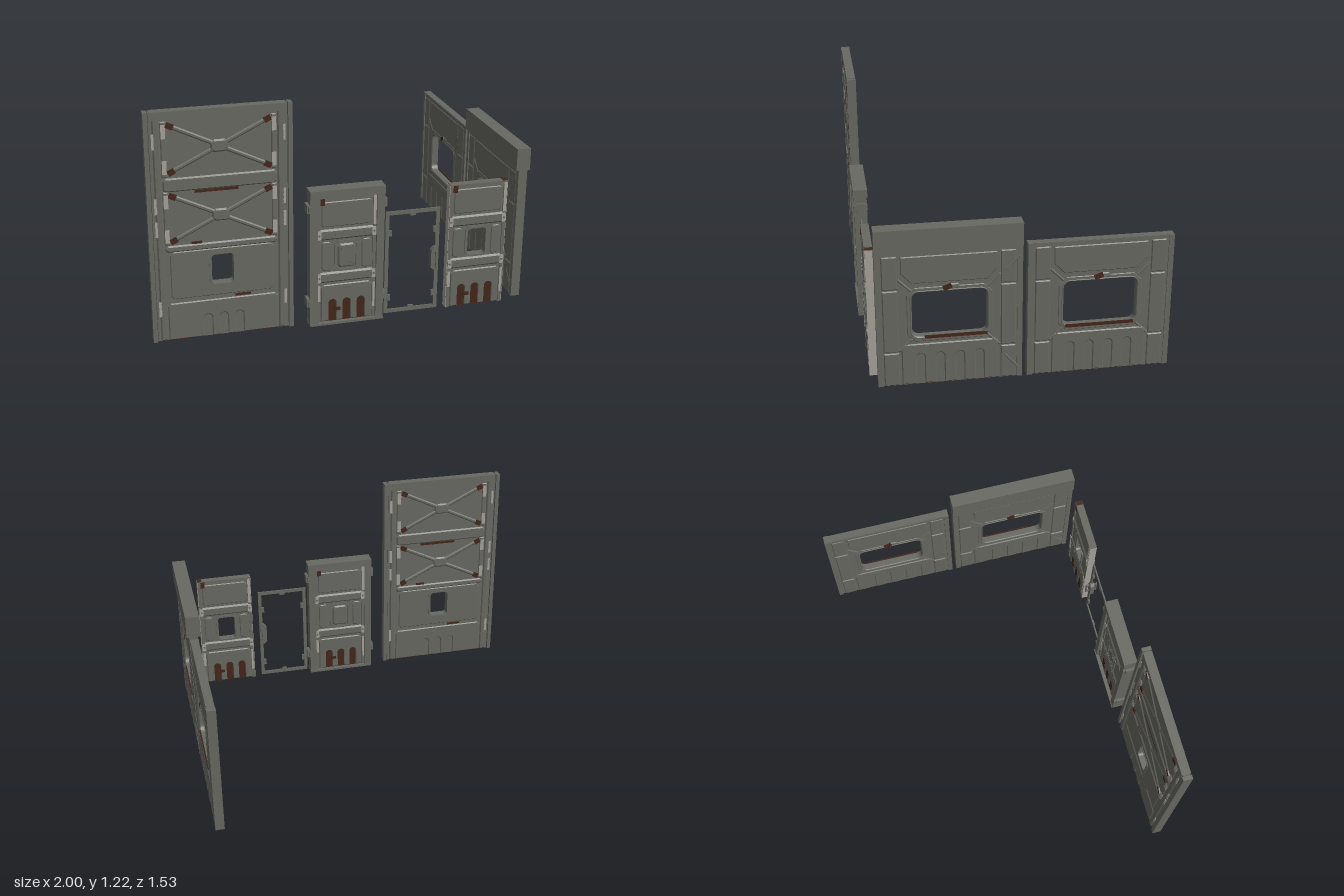
import * as THREE from 'three';

const mat = (name, color) => Object.assign(new THREE.MeshStandardMaterial({ color }), { name });
const steel = mat('steel grey', 0x696963);
const light = mat('worn light grey', 0xa6a399);
const rust = mat('rust brown', 0x44261a);

function add(parent, name, geo, material) {
  const m = new THREE.Mesh(geo, material);
  m.name = name;
  parent.add(m);
  return m;
}
function group(parent, name) {
  const g = new THREE.Group();
  g.name = name;
  parent.add(g);
  return g;
}
function box(p, name, material, [x, y, z], [w, h, d], rot = 0) {
  const m = add(p, name, new THREE.BoxGeometry(w, h, d), material);
  m.position.set(x, y, z);
  m.rotation.z = rot;
  return m;
}
// rectangle outline, with cut corners when c > 0
function cutRect(w, h, y, c, Type = THREE.Shape) {
  const a = w / 2, b = h / 2;
  const pts = c
    ? [[-a + c, -b], [a - c, -b], [a, -b + c], [a, b - c], [a - c, b], [-a + c, b], [-a, b - c], [-a, -b + c]]
    : [[-a, -b], [a, -b], [a, b], [-a, b]];
  return new Type(pts.map(([px, py]) => new THREE.Vector2(px, py + y)));
}
// window outline with rounded corners
function roundRect(w, h, y, r, Type = THREE.Path) {
  const s = new Type(), a = w / 2 - r, b = h / 2 - r;
  s.absarc(a, y + b, r, 0, Math.PI / 2);
  s.absarc(-a, y + b, r, Math.PI / 2, Math.PI);
  s.absarc(-a, y - b, r, Math.PI, Math.PI * 1.5);
  s.absarc(a, y - b, r, Math.PI * 1.5, Math.PI * 2);
  s.closePath();
  return s;
}
// straight-sided plate
function slab(p, name, material, shape, z0, depth, hole) {
  if (hole) shape.holes.push(hole);
  const geo = new THREE.ExtrudeGeometry(shape, { depth, bevelEnabled: false, curveSegments: 4 });
  return add(p, name, geo.translate(0, 0, z0), material);
}
// raised plate with sloping edges, rising by height above z0
function plate(p, name, material, shape, z0, height, hole) {
  if (hole) shape.holes.push(hole);
  const b = height - 0.001;
  const geo = new THREE.ExtrudeGeometry(shape, {
    depth: 0.001, bevelThickness: b, bevelSize: b, bevelOffset: -b, bevelSegments: 1, curveSegments: 4,
  });
  return add(p, name, geo.translate(0, 0, z0), material);
}
// straight steel rib between two points on a face
function rib(p, name, x1, y1, x2, y2, z, width, height) {
  const m = plate(p, name, steel, cutRect(Math.hypot(x2 - x1, y2 - y1), width, 0, 0), z, height);
  m.position.set((x1 + x2) / 2, (y1 + y2) / 2, 0);
  m.rotation.z = Math.atan2(y2 - y1, x2 - x1);
}
// outline of a lower plate with arched notches cut up from the bottom edge
function skirt(w, y0, y1, slots, r, slotTop) {
  const s = new THREE.Shape();
  s.moveTo(-w / 2, y0);
  for (const x of slots) {
    s.lineTo(x - r, y0);
    s.lineTo(x - r, slotTop - r);
    s.absarc(x, slotTop - r, r, Math.PI, 0, true);
    s.lineTo(x + r, y0);
  }
  s.lineTo(w / 2, y0);
  s.lineTo(w / 2, y1 - 0.015);
  s.lineTo(w / 2 - 0.015, y1);
  s.lineTo(-w / 2 + 0.015, y1);
  s.lineTo(-w / 2, y1 - 0.015);
  return s;
}
// repeat face details on front and back
function bothFaces(p, build) {
  for (const [name, ry] of [['frontFace', 0], ['backFace', Math.PI]]) {
    const g = group(p, name);
    g.rotation.y = ry;
    build(g);
  }
}
const SIDES = [-1, 1];

function bigDoor(root) {
  const d = group(root, 'tallDoor');
  d.position.set(-0.64, 0, 0.726);
  const win = () => roundRect(0.11, 0.16, 0.38, 0.018);
  slab(d, 'doorCore', steel, cutRect(0.67, 1.2, 0.614, 0), -0.017, 0.034, win());
  for (const s of SIDES) {
    box(d, 'edgePost', steel, [s * 0.349, 0.614, 0], [0.022, 1.204, 0.05]);
    box(d, 'rustyFoot', rust, [s * 0.22, 0.012, 0], [0.14, 0.004, 0.034]);
  }
  box(d, 'topBeam', steel, [0, 1.197, 0], [0.66, 0.04, 0.048]);
  bothFaces(d, (f) => {
    for (const s of SIDES) rib(f, 'edgeRail', s * 0.302, 0.015, s * 0.302, 1.19, 0.016, 0.036, 0.008);
    for (const y of [0.845, 0.51]) plate(f, 'crossBeam', steel, cutRect(0.56, y > 0.6 ? 0.07 : 0.035, y, 0.012), 0.016, 0.008);
    plate(f, 'windowPanel', steel, cutRect(0.52, 0.255, 0.365, 0.015), 0.016, 0.005, win());
    slab(f, 'windowRim', steel, cutRect(0.136, 0.186, 0.38, 0.02), 0.016, 0.008, win());
    plate(f, 'slottedSkirt', steel, skirt(0.56, 0.014, 0.215, [-0.08, 0, 0.08], 0.02, 0.135), 0.016, 0.006);
    // cross braces with centre plates and corner brackets
    for (const y of [1.027, 0.67]) {
      for (const sx of SIDES) {
        for (const sy of SIDES) {
          rib(f, 'brace', sx * 0.03, y + sy * 0.015, sx * 0.235, y + sy * 0.115, 0.016, 0.022, 0.007);
          box(f, 'cornerBracket', rust, [sx * 0.236, y + sy * 0.116, 0.0205], [0.036, 0.028, 0.009], sx * sy * 0.45);
          box(f, 'wornCorner', light, [sx * 0.268, y + sy * 0.09, 0.0215], [0.022, 0.07, 0.003]);
        }
        rib(f, 'panelEdge', sx * 0.268, y - 0.14, sx * 0.268, y + 0.14, 0.016, 0.028, 0.006);
      }
      plate(f, 'bracePlate', steel, cutRect(0.09, 0.064, y, 0.017), 0.016, 0.009);
    }
    for (const s of SIDES) for (const y of [1.07, 0.74, 0.62, 0.19])
      box(f, 'wornPostStrip', light, [s * 0.318, y, 0.0225], [0.014, 0.08, 0.003]);
    box(f, 'rustStreak', rust, [-0.02, 0.803, 0.019], [0.215, 0.013, 0.007]);
    box(f, 'rustStreak', rust, [-0.125, 0.534, 0.019], [0.05, 0.012, 0.007]);
    box(f, 'rustStreak', rust, [0.1, 0.228, 0.019], [0.08, 0.011, 0.007]);
  });
}

// narrow door leaf, shared by the framed door and the loose one
function smallDoor(parent, x, z, hasWindow) {
  const d = group(parent, 'narrowDoor');
  d.position.set(x, 0, z);
  const win = () => roundRect(0.1, 0.148, 0.378, 0.015);
  slab(d, 'doorCore', steel, cutRect(0.314, 0.693, 0.358, 0), -0.015, 0.03, hasWindow && win());
  for (const s of SIDES) box(d, 'doorStile', steel, [s * 0.148, 0.358, 0], [0.018, 0.695, 0.042]);
  box(d, 'doorTop', steel, [0, 0.695, 0], [0.3, 0.02, 0.042]);
  bothFaces(d, (f) => {
    plate(f, 'upperPanel', steel, cutRect(0.264, 0.135, 0.61, 0.01), 0.014, 0.005);
    for (const y of [0.5, 0.262]) {
      plate(f, 'boltedBand', steel, cutRect(0.31, 0.058, y, 0.012), 0.014, 0.01);
      for (const s of SIDES) box(f, 'wornBandEnd', light, [s * 0.145, y, 0.0225], [0.02, 0.048, 0.004]);
      for (const bx of [-0.145, -0.095, -0.055, 0.055, 0.095, 0.145]) {
        const b = add(f, 'bolt', new THREE.CylinderGeometry(0.006, 0.006, 0.006, 6), steel);
        b.rotation.x = Math.PI / 2;
        b.position.set(bx, y, 0.0245);
      }
    }
    slab(f, 'centreRim', steel, cutRect(0.126, 0.17, 0.378, 0.02), 0.014, 0.008, win());
    if (!hasWindow) {
      plate(f, 'centrePlate', steel, cutRect(0.092, 0.13, 0.378, 0.012), 0.014, 0.009);
      for (const sx of SIDES) for (const sy of SIDES)
        box(f, 'plateStud', steel, [sx * 0.024, 0.378 + sy * 0.038, 0.024], [0.012, 0.012, 0.005]);
    }
    for (const s of SIDES) plate(f, 'sidePad', steel, cutRect(0.05, 0.16, 0.38, 0.01), 0.014, 0.005).position.x = s * 0.106;
    box(f, 'rustySlotBacking', rust, [0, 0.075, 0.0145], [0.22, 0.125, 0.004]);
    plate(f, 'slottedSkirt', steel, skirt(0.27, 0.013, 0.22, [-0.073, 0.003, 0.079], 0.019, 0.133), 0.014, 0.006);
    box(f, 'slotCatch', rust, [-0.045, 0.08, 0.019], [0.03, 0.02, 0.005]);
    box(f, 'rustPatch', rust, [-0.128, 0.682, 0.0205], [0.024, 0.038, 0.006]);
    box(f, 'wornEdge', light, [0.147, 0.615, 0.0215], [0.016, 0.16, 0.003]);
    box(f, 'wornEdge', light, [-0.147, 0.175, 0.0215], [0.016, 0.09, 0.003]);
    box(f, 'wornEdge', light, [0.147, 0.14, 0.0215], [0.012, 0.14, 0.003]);
  });
  return d;
}

function framedDoor(root) {
  const g = group(root, 'framedDoor');
  g.position.set(0, 0, 0.725);
  smallDoor(g, 0, 0, false);
  for (const s of SIDES) {
    box(g, 'framePost', steel, [s * 0.175, 0.36, 0], [0.04, 0.72, 0.068]);
    for (const y of [0.65, 0.13]) {
      box(g, 'hinge', steel, [s * 0.2, y, 0], [0.02, 0.045, 0.05]);
      box(g, 'hingeCap', steel, [s * 0.196, y, 0], [0.014, 0.03, 0.074]);
    }
  }
  box(g, 'frameHeader', steel, [0, 0.726, 0], [0.392, 0.042, 0.076]);
  box(g, 'threshold', steel, [0, 0.006, 0], [0.392, 0.012, 0.076]);
}

function openFrame(root) {
  const g = group(root, 'slimFrame');
  g.position.set(0.357, 0, 0.726);
  slab(g, 'frameBars', steel, cutRect(0.294, 0.575, 0.298, 0), -0.004, 0.008, cutRect(0.254, 0.535, 0.298, 0, THREE.Path));
  for (const s of SIDES) {
    for (const y of [0.465, 0.1]) box(g, 'sideTab', steel, [s * 0.122, y, 0], [0.018, 0.032, 0.012]);
    box(g, 'endTab', steel, [0, 0.298 + s * 0.264, 0], [0.03, 0.014, 0.012]);
  }
  // latch handle on the right bar
  slab(g, 'latchPlate', steel, cutRect(0.04, 0.13, 0.3, 0.016), -0.012, 0.024).position.x = 0.124;
  for (const s of SIDES) {
    box(g, 'latchGrip', steel, [0.128, 0.3, s * 0.03], [0.01, 0.09, 0.008]);
    for (const y of [0.265, 0.335]) box(g, 'gripStem', steel, [0.128, y, s * 0.02], [0.008, 0.012, 0.02]);
  }
}

function windowWall(root, zc, w, hasHeader) {
  const g = group(root, hasHeader ? 'windowWallWithHeader' : 'windowWall');
  g.position.set(0.9625, 0, zc);
  g.rotation.y = Math.PI / 2;
  const win = () => roundRect(0.37, 0.24, 0.395, 0.035);
  slab(g, 'wallCore', steel, cutRect(w, 0.723, 0.3735, 0), -0.018, 0.036, win());
  for (const s of SIDES) box(g, 'endPost', steel, [s * (w / 2 - 0.013), 0.373, 0], [0.026, 0.722, 0.048]);
  box(g, 'topRail', steel, [0, 0.724, 0], [w - 0.004, 0.02, 0.044]);
  box(g, 'rustyFoot', rust, [0, 0.0105, 0], [0.4, 0.003, 0.034]);
  bothFaces(g, (f) => {
    const upper = [[-0.235, 0.62], [-0.185, 0.565], [0.185, 0.565], [0.235, 0.62], [0.235, 0.708], [-0.235, 0.708]];
    plate(f, 'upperPanel', steel, new THREE.Shape(upper.map((p) => new THREE.Vector2(...p))), 0.017, 0.005);
    plate(f, 'windowSurround', steel, cutRect(0.42, 0.292, 0.395, 0.04), 0.017, 0.004, win());
    plate(f, 'windowRim', steel, roundRect(0.394, 0.264, 0.395, 0.044, THREE.Shape), 0.017, 0.006, win());
    plate(f, 'slottedSkirt', steel, skirt(0.48, 0.014, 0.236, [-0.147, -0.049, 0.049, 0.147], 0.02, 0.18), 0.017, 0.006);
    for (const s of SIDES) {
      // post in three lengths, parted by narrow grooves
      for (const [a, b] of [[0.013, 0.192], [0.198, 0.532], [0.538, 0.713]])
        rib(f, 'wallPost', s * 0.29, a, s * 0.29, b, 0.017, 0.076, 0.006);
      rib(f, 'cornerRib', s * 0.185, 0.525, s * 0.25, 0.59, 0.017, 0.012, 0.005);
      rib(f, 'cornerRib', s * 0.185, 0.265, s * 0.25, 0.2, 0.017, 0.012, 0.005);
    }
    // diagonal braces on the post nearest the other wall
    if (hasHeader) for (const [a, b] of [[0.61, 0.68], [0.14, 0.06]])
      rib(f, 'postBrace', 0.275, a, 0.345, b, 0.0215, 0.012, 0.004);
    box(f, 'rustPatch', rust, [-0.01, 0.537, 0.022], [0.045, 0.024, 0.008], 0.35);
    plate(f, 'latch', steel, cutRect(0.06, 0.026, 0.54, 0.008), 0.017, 0.006).position.x = 0.02;
  });
  // rusty lower lip of the window, on the outer face only
  box(g, 'rustyWindowLip', rust, [hasHeader ? 0.03 : 0, 0.272, 0.0215], [hasHeader ? 0.31 : 0.35, 0.016, 0.006]);
  if (hasHeader) box(g, 'wallHeader', steel, [0, 0.795, 0], [w, 0.12, 0.075]);
}

export function createModel() {
  const root = new THREE.Group();
  root.name = 'doorAndWallSet';
  bigDoor(root);
  framedDoor(root);
  openFrame(root);
  // loose windowed door with worn outer edges
  const loose = smallDoor(root, 0.706, 0.726, true);
  for (const s of SIDES) box(loose, 'wornOuterEdge', light, [s * 0.1575, 0.356, 0], [0.004, 0.69, 0.04]);
  box(loose, 'rustyTopCorner', rust, [0.145, 0.7045, 0], [0.026, 0.004, 0.04]);
  windowWall(root, 0.35, 0.72, true);
  windowWall(root, -0.4, 0.73, false);
  return root;
}
